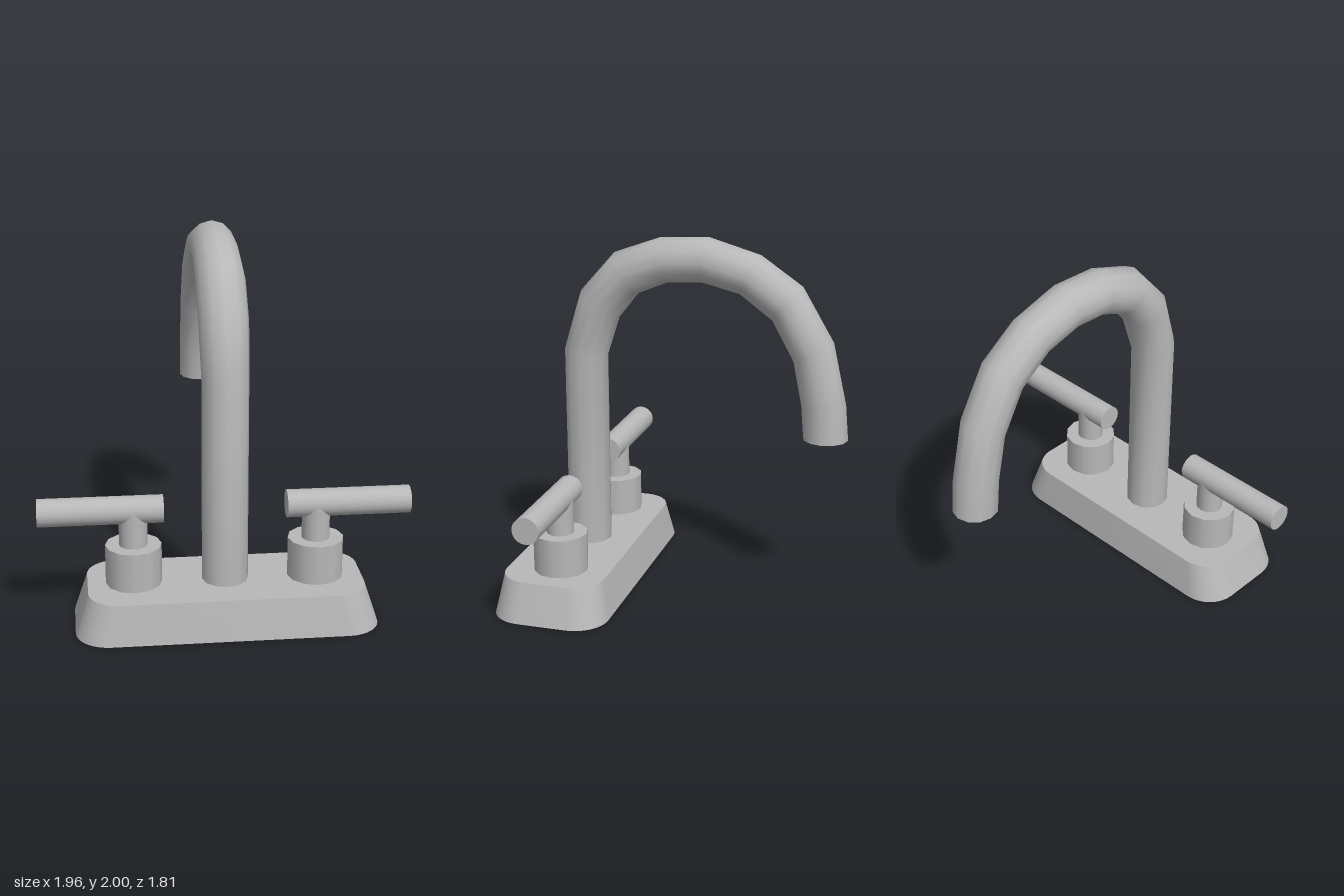
import * as THREE from 'three';
import { toCreasedNormals } from 'three/addons/utils/BufferGeometryUtils.js';

const metal = new THREE.MeshStandardMaterial({ color: 0xb8b8b8 });
metal.name = 'brushed metal';
const Z = 0.58; // depth of the spout post and handles

function part(name, geometry, parent) {
  const mesh = new THREE.Mesh(geometry, metal);
  mesh.name = name;
  parent.add(mesh);
  return mesh;
}

// Rounded plate that tapers towards its top
function baseGeometry() {
  const w = 0.8, d = 0.32, r = 0.18, h = 0.215;
  const s = new THREE.Shape();
  s.absarc(w - r, d - r, r, 0, Math.PI / 2);
  s.absarc(r - w, d - r, r, Math.PI / 2, Math.PI);
  s.absarc(r - w, r - d, r, Math.PI, Math.PI * 1.5);
  s.absarc(w - r, r - d, r, Math.PI * 1.5, Math.PI * 2);
  const g = new THREE.ExtrudeGeometry(s, { depth: h, bevelEnabled: false, curveSegments: 4 });
  g.rotateX(-Math.PI / 2);
  const p = g.attributes.position;
  for (let i = 0; i < p.count; i++) {
    if (p.getY(i) > h / 2) p.setXYZ(i, p.getX(i) * 0.912, h, p.getZ(i) * 0.88);
  }
  return toCreasedNormals(g, 0.6);
}

// Spout rings: outer z, y, inner z, y, half width
const RINGS = [
  [0.703, 0.2, 0.458, 0.2, 0.123], [0.703, 1.35, 0.46, 1.30, 0.123],
  [0.605, 1.67, 0.385, 1.53, 0.131], [0.41, 1.89, 0.275, 1.67, 0.131],
  [0.15, 1.985, 0.11, 1.74, 0.126], [-0.12, 2.0, -0.09, 1.75, 0.123],
  [-0.40, 1.92, -0.30, 1.70, 0.123], [-0.635, 1.76, -0.475, 1.57, 0.123],
  [-0.81, 1.465, -0.59, 1.36, 0.123], [-0.885, 1.13, -0.64, 1.11, 0.123],
  [-0.902, 0.93, -0.655, 0.93, 0.123],
  // rim, recess wall and recess floor
  [-0.882, 0.93, -0.675, 0.93, 0.103], [-0.877, 0.98, -0.67, 0.98, 0.103],
  [-0.774, 0.98, -0.773, 0.98, 0.0005],
];

function spoutGeometry() {
  const sides = 12, pos = [], index = [];
  RINGS.forEach(([oz, oy, iz, iy, w], k) => {
    for (let j = 0; j < sides; j++) {
      const a = (j / sides) * Math.PI * 2, c = Math.cos(a) / 2;
      pos.push(w * Math.sin(a), (oy + iy) / 2 + (oy - iy) * c, (oz + iz) / 2 + (oz - iz) * c);
      if (k === 0) continue;
      const n = (j + 1) % sides, lo = (k - 1) * sides, hi = k * sides;
      index.push(lo + j, lo + n, hi + n, lo + j, hi + n, hi + j);
    }
  });
  const g = new THREE.BufferGeometry();
  g.setAttribute('position', new THREE.Float32BufferAttribute(pos, 3));
  g.setIndex(index);
  return toCreasedNormals(g, 0.9);
}

function handle(side) {
  const group = new THREE.Group();
  group.name = side > 0 ? 'leftHandle' : 'rightHandle';
  const x = side * 0.484;
  part('collar', new THREE.CylinderGeometry(0.149, 0.149, 0.23, 12), group).position.set(x, 0.315, Z);
  part('stem', new THREE.CylinderGeometry(0.075, 0.075, 0.22, 16), group).position.set(x, 0.515, Z);
  const lever = new THREE.CylinderGeometry(0.074, 0.074, 0.657, 20).rotateZ(Math.PI / 2);
  part('lever', lever, group).position.set(side * 0.6535, 0.625, Z);
  return group;
}

export function createModel() {
  const model = new THREE.Group();
  model.name = 'faucet';
  part('base', baseGeometry(), model).position.z = 0.585;
  part('spout', spoutGeometry(), model);
  for (const side of [1, -1]) model.add(handle(side));
  return model;
}
